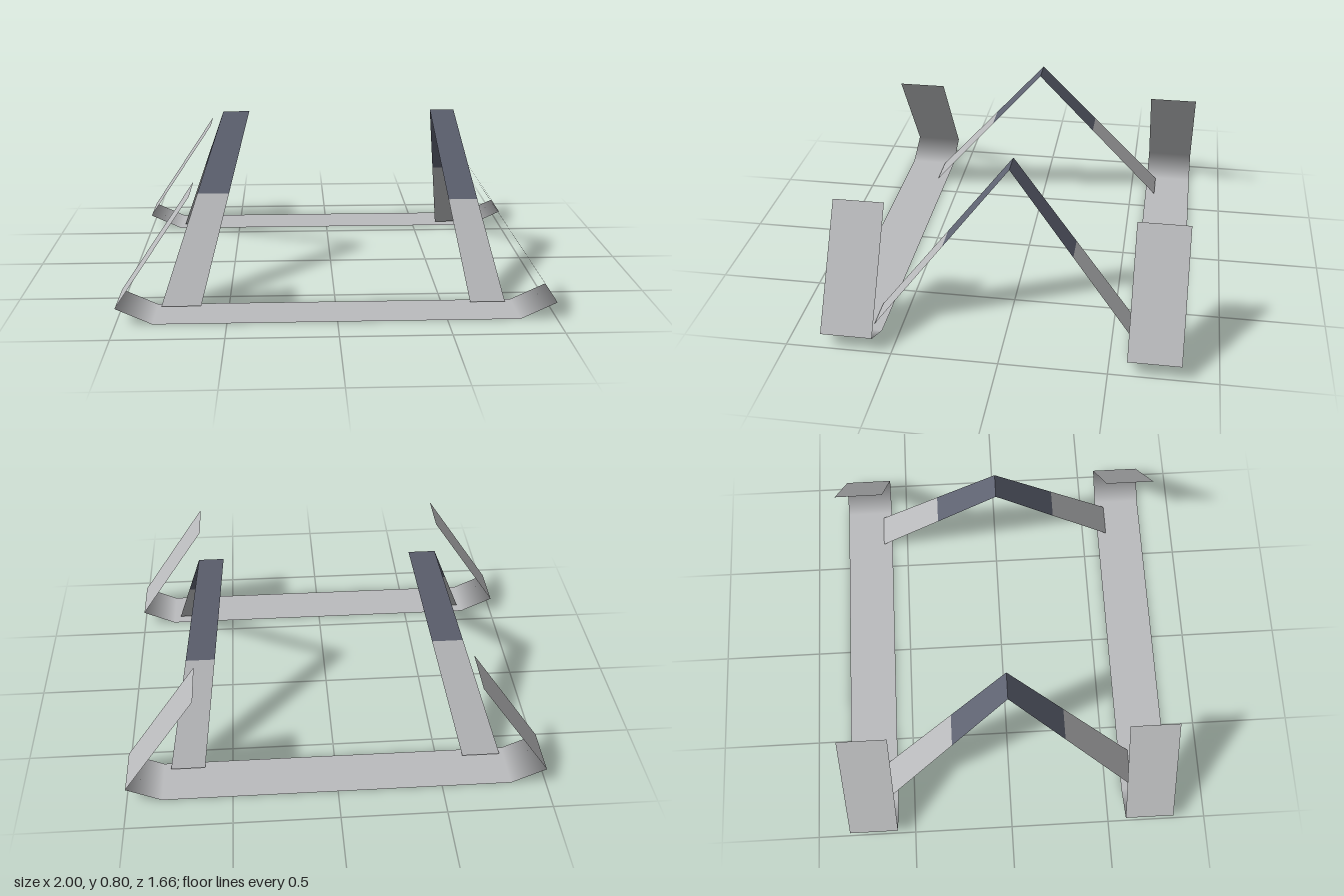
import * as THREE from 'three';

const grey = new THREE.MeshStandardMaterial({ color: 0xbabbbd, side: THREE.DoubleSide });
grey.name = 'light grey';
const slate = new THREE.MeshStandardMaterial({ color: 0x5f6372, side: THREE.DoubleSide });
slate.name = 'slate blue';

// Thin band: [x, y, nx, ny] profile swept from z0 to z1
function bandGeometry(profile, z0, z1) {
  const pos = [], nor = [], idx = [];
  profile.forEach(([x, y, nx, ny], i) => {
    pos.push(x, y, z0, x, y, z1);
    nor.push(nx, ny, 0, nx, ny, 0);
    const a = i * 2;
    if (i < profile.length - 1) idx.push(a, a + 2, a + 1, a + 1, a + 2, a + 3);
  });
  const g = new THREE.BufferGeometry();
  g.setAttribute('position', new THREE.Float32BufferAttribute(pos, 3));
  g.setAttribute('normal', new THREE.Float32BufferAttribute(nor, 3));
  g.setIndex(idx);
  return g;
}

// Flat four-sided plate; corners run anticlockwise seen from outside
function plate(corners, material, name) {
  const g = new THREE.BufferGeometry();
  g.setAttribute('position', new THREE.Float32BufferAttribute(corners.flat(), 3));
  g.setIndex([0, 1, 2, 0, 2, 3]);
  g.computeVertexNormals();
  const mesh = new THREE.Mesh(g, material);
  mesh.name = name;
  return mesh;
}

// Sloping leg: grey foot and slate upper part, split at height ySplit
function makeLeg({ top, foot, ySplit, zFoot }, side, name) {
  const leg = new THREE.Group();
  leg.name = name;
  const yTop = 0.805, yFoot = 0.01;
  const edge = (y) => {
    const t = (yTop - y) / (yTop - yFoot);
    return [0, 1].map((i) => [top[i] + (foot[i] - top[i]) * t, y, side * zFoot * t]);
  };
  const section = (yLow, yHigh, material, part) => {
    const [a, b] = edge(yLow), [d, c] = edge(yHigh);
    const corners = side > 0 ? [a, b, c, d] : [b, a, d, c];
    leg.add(plate(corners, material, part));
  };
  section(yFoot, ySplit, grey, 'lowerLeg');
  section(ySplit, yTop, slate, 'upperLeg');
  return leg;
}

export function createModel() {
  const model = new THREE.Group();
  model.name = 'foldedStand';

  // Base rails: flat middle, softly shaded bend, arms leaning inward
  const profile = [
    [-0.65, 0.6, -0.83, 0.56], [-1, 0.08, -0.83, 0.56], [-0.835, 0.003, 0, -1],
    [0.835, 0.003, 0, -1], [1, 0.08, 0.83, 0.56], [0.65, 0.6, 0.83, 0.56],
  ];
  for (const [name, z0, z1] of [['frontRail', 0.585, 0.83], ['backRail', -0.83, -0.585]]) {
    const rail = new THREE.Mesh(bandGeometry(profile, z0, z1), grey);
    rail.name = name;
    model.add(rail);
  }

  // Two A-shaped leg pairs meeting at a ridge above the centre line
  const pairs = {
    Right: { top: [-0.54, -0.41], foot: [-0.815, -0.63], ySplit: 0.455, zFoot: 0.635 },
    Left: { top: [0.505, 0.625], foot: [0.635, 0.80], ySplit: 0.42, zFoot: 0.632 },
  };
  for (const [label, spec] of Object.entries(pairs)) {
    model.add(makeLeg(spec, 1, 'front' + label + 'Leg'));
    model.add(makeLeg(spec, -1, 'back' + label + 'Leg'));
  }
  return model;
}
